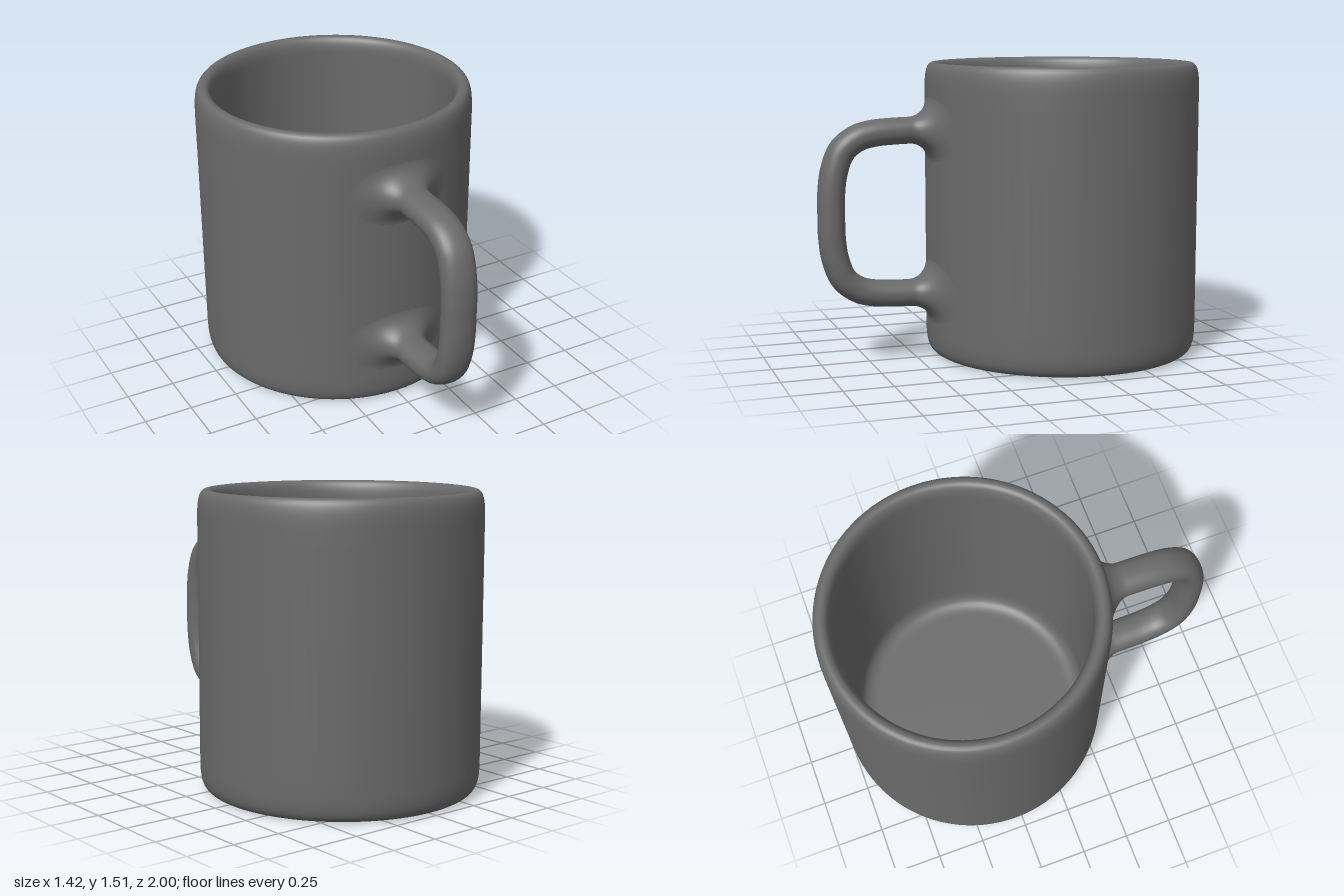
import * as THREE from 'three';

const RADIUS = 0.71, CENTER_Z = -0.29;

// Handle: an oval section swept along a rounded C, with fillets that melt into the cup wall
function handleGeometry() {
  const midY = 0.762, rings = 180, sides = 32, rootZ = 0.419, filletStart = 0.535;
  const half = [[rootZ, 0.416], [0.5, 0.416], [0.6, 0.414], [0.72, 0.405], [0.8, 0.383],
    [0.875, 0.325], [0.918, 0.22], [0.934, 0.1]];
  const pts = half.map(([z, h]) => new THREE.Vector3(0, midY + h, z));
  pts.push(new THREE.Vector3(0, midY, 0.935));
  pts.push(...half.slice().reverse().map(([z, h]) => new THREE.Vector3(0, midY - h, z)));
  const path = new THREE.CatmullRomCurve3(pts);

  const pos = [], idx = [];
  for (let i = 0; i <= rings; i++) {
    // rings crowd towards the two roots, where the fillet is steep
    const u = (1 - Math.cos((Math.PI * i) / rings)) / 2;
    const p = path.getPointAt(u), t = path.getTangentAt(u);
    const s = THREE.MathUtils.clamp((filletStart - p.z) / (filletStart - rootZ), 0, 1);
    const flare = 1 - Math.sqrt(1 - s * s), wrap = THREE.MathUtils.smoothstep(s, 0, 0.9);
    const rx = 0.089 + 0.2 * flare, ry = 0.067 + 0.11 * flare;
    for (let j = 0; j < sides; j++) {
      const a = (j / sides) * Math.PI * 2;
      // slightly squared oval
      const c = Math.sign(Math.cos(a)) * Math.abs(Math.cos(a)) ** 0.9;
      const n = Math.sign(Math.sin(a)) * Math.abs(Math.sin(a)) ** 0.9;
      const x = c * rx;
      // near the cup the section bends round the cylinder
      const bend = (Math.sqrt(RADIUS * RADIUS - x * x) - RADIUS) * wrap;
      pos.push(x, p.y + n * ry * t.z, p.z - n * ry * t.y + bend);
      if (i < rings) {
        const k = (j + 1) % sides, r0 = i * sides, r1 = r0 + sides;
        idx.push(r0 + j, r0 + k, r1 + k, r0 + j, r1 + k, r1 + j);
      }
    }
  }
  const g = new THREE.BufferGeometry();
  g.setAttribute('position', new THREE.Float32BufferAttribute(pos, 3));
  g.setIndex(idx);
  g.computeVertexNormals();
  return g;
}

// Cup: one closed profile, from the underside up the wall, over the rim and down to the floor
function cupGeometry() {
  const s = new THREE.Path();
  s.moveTo(0, 0.004);
  s.lineTo(0.6, 0.004);
  s.lineTo(0.645, 0.004);
  s.bezierCurveTo(0.695, 0.004, RADIUS, 0.04, RADIUS, 0.14);
  s.lineTo(RADIUS, 0.2);
  s.lineTo(RADIUS, 1.3);
  s.lineTo(RADIUS, 1.37);
  s.bezierCurveTo(RADIUS, 1.465, 0.7, 1.51, 0.664, 1.51);
  s.bezierCurveTo(0.635, 1.51, 0.62, 1.48, 0.62, 1.42);
  s.lineTo(0.62, 1.36);
  s.lineTo(0.62, 0.26);
  s.lineTo(0.62, 0.2);
  s.bezierCurveTo(0.62, 0.12, 0.59, 0.09, 0.52, 0.09);
  s.lineTo(0.46, 0.09);
  s.lineTo(0, 0.09);
  return new THREE.LatheGeometry(s.getPoints(10), 96);
}

export function createModel() {
  const model = new THREE.Group();
  model.name = 'mug';
  const material = new THREE.MeshStandardMaterial({ color: 0x6a6a6a });

  const cup = new THREE.Mesh(cupGeometry(), material);
  cup.name = 'cup';
  cup.position.z = CENTER_Z;

  const handle = new THREE.Mesh(handleGeometry(), material);
  handle.name = 'handle';

  model.add(cup, handle);
  return model;
}
